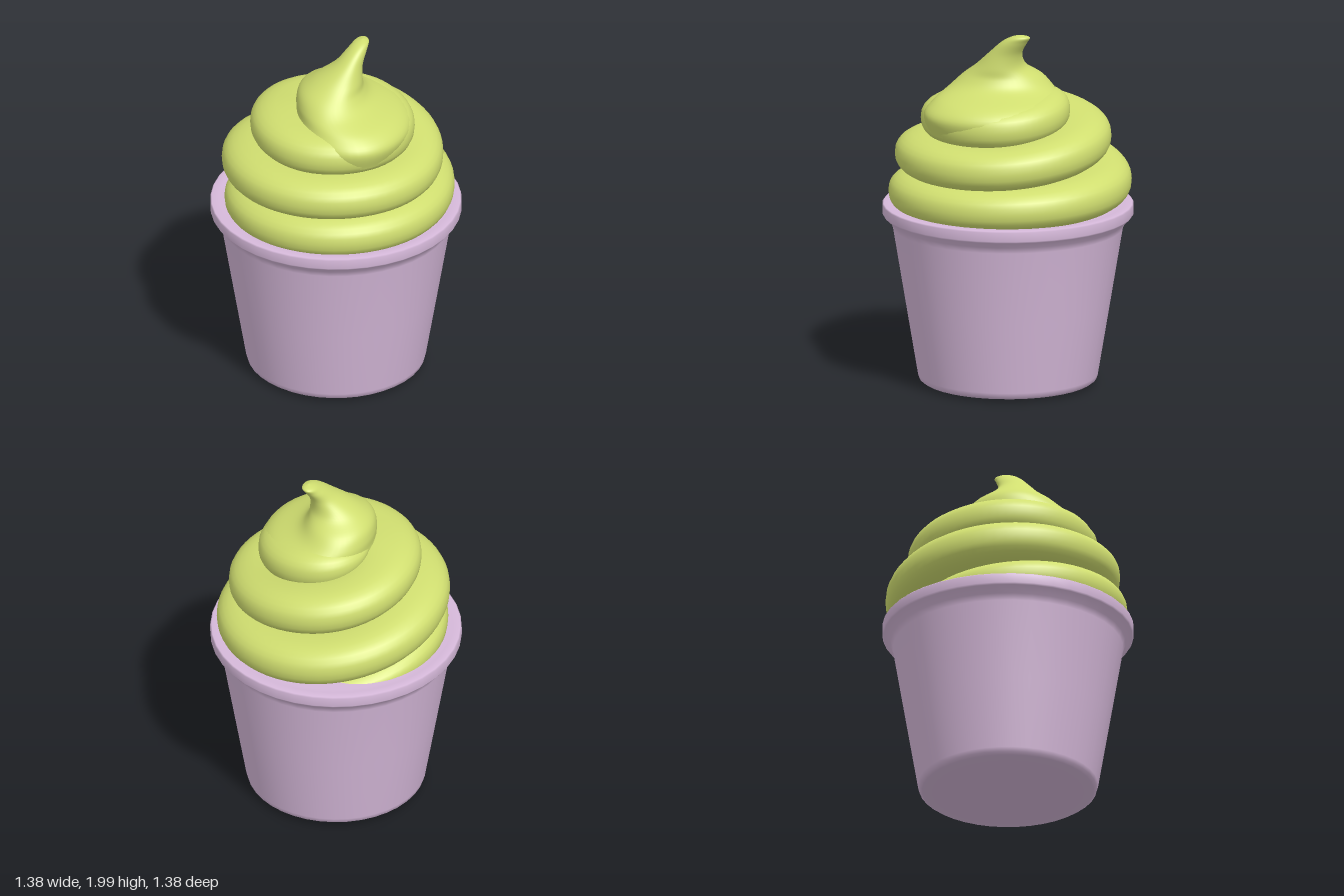
import * as THREE from 'three';

const purple = new THREE.MeshStandardMaterial({ color: 0xd6b9da });
purple.name = 'lilac cup';
const green = new THREE.MeshStandardMaterial({ color: 0xd0de70 });
green.name = 'lime cream';

// Smooth interpolation through the rows of a small table, t in 0..1
function sample(table, t) {
  const last = table.length - 1;
  const i = Math.min(Math.floor(t * last), last - 1);
  const f = t * last - i;
  const row = (k) => table[Math.max(0, Math.min(last, k))];
  return row(i).map((p1, c) => {
    const p0 = row(i - 1)[c], p2 = row(i + 1)[c], p3 = row(i + 2)[c];
    const m1 = (p2 - p0) / 2, m2 = (p3 - p1) / 2;
    return p1 + m1 * f + (3 * (p2 - p1) - 2 * m1 - m2) * f * f + (2 * (p1 - p2) + m1 + m2) * f * f * f;
  });
}

// Skin over closed rings; point(t, angle) returns [x, y, z]
function loft(rings, sides, point) {
  const positions = [], index = [];
  for (let i = 0; i <= rings; i++) {
    for (let j = 0; j < sides; j++) {
      positions.push(...point(i / rings, (j / sides) * Math.PI * 2));
      if (i === rings) continue;
      const a = i * sides + j, b = i * sides + ((j + 1) % sides);
      index.push(a, b, a + sides, b, b + sides, a + sides);
    }
  }
  const geometry = new THREE.BufferGeometry();
  geometry.setAttribute('position', new THREE.Float32BufferAttribute(positions, 3));
  geometry.setIndex(index);
  geometry.computeVertexNormals();
  return geometry;
}

// Coil, one row per quarter turn: outer radius, centre height, half height
const coil = [
  [0.20, 1.61, 0.04], [0.34, 1.57, 0.11], [0.44, 1.51, 0.12], [0.48, 1.50, 0.12],
  [0.475, 1.495, 0.12], [0.57, 1.41, 0.125], [0.592, 1.31, 0.12], [0.622, 1.30, 0.12],
  [0.63, 1.27, 0.125], [0.68, 1.15, 0.125], [0.648, 1.10, 0.12], [0.655, 1.09, 0.12],
  [0.605, 1.04, 0.11], [0.58, 0.93, 0.08],
];

// Tip sections: height, min x, max x, min z, max z, front-left pinch
const tip = [
  [1.45, -0.20, 0.40, -0.30, 0.44, 0.10],
  [1.55, -0.23, 0.43, -0.335, 0.47, 0.12],
  [1.62, -0.23, 0.37, -0.31, 0.42, 0.14],
  [1.68, -0.225, 0.22, -0.25, 0.335, 0.12],
  [1.74, -0.20, 0.165, -0.19, 0.26, 0.08],
  [1.80, -0.125, 0.155, -0.105, 0.18, 0.04],
  [1.88, -0.01, 0.15, -0.085, 0.10, 0],
  [1.95, 0.055, 0.163, -0.115, 0.03, 0],
  [1.985, 0.09, 0.165, -0.132, -0.025, 0],
  [2.0, 0.13, 0.132, -0.081, -0.079, 0],
];

const softPow = (v, e) => Math.sign(v) * Math.abs(v) ** e;

export function createModel() {
  const group = new THREE.Group();
  const add = (name, geometry, material) => {
    const mesh = new THREE.Mesh(geometry, material);
    mesh.name = name;
    group.add(mesh);
  };

  // Tapered cup with a flared rim and closed top
  const profile = [
    [0, 0.008], [0.38, 0.008], [0.47, 0.022], [0.488, 0.035], [0.495, 0.06], [0.56, 0.45],
    [0.632, 0.885], [0.645, 0.92], [0.683, 0.955], [0.69, 0.965], [0.69, 1.015],
    [0.683, 1.022], [0.64, 1.024], [0.60, 1.015], [0, 1.015],
  ].map(([r, y]) => new THREE.Vector2(r, y));
  add('cup', new THREE.LatheGeometry(profile, 40), purple);

  // Spiral of cream winding down into the cup
  add('creamSwirl', loft(208, 28, (t, angle) => {
    const [outer, height, half] = sample(coil, t);
    const turn = (0.25 + (t * (coil.length - 1)) / 4) * Math.PI * 2;
    const width = Math.min(0.2, outer * 0.5);
    const r = outer - width + width * softPow(Math.cos(angle), 0.8);
    return [-Math.sin(turn) * r, height + half * softPow(Math.sin(angle), 0.85), Math.cos(turn) * r];
  }), green);

  // Curled peak
  add('creamTip', loft(54, 48, (t, angle) => {
    const [y, x0, x1, z0, z1, pinch] = sample(tip, t);
    const toward = Math.max(0, Math.cos(angle - Math.PI * 1.24));
    const k = 1 - pinch * toward * toward;
    return [
      (x0 + x1) / 2 + ((x1 - x0) / 2) * Math.cos(angle) * k,
      y,
      (z0 + z1) / 2 - ((z1 - z0) / 2) * Math.sin(angle) * k,
    ];
  }), green);

  return group;
}
